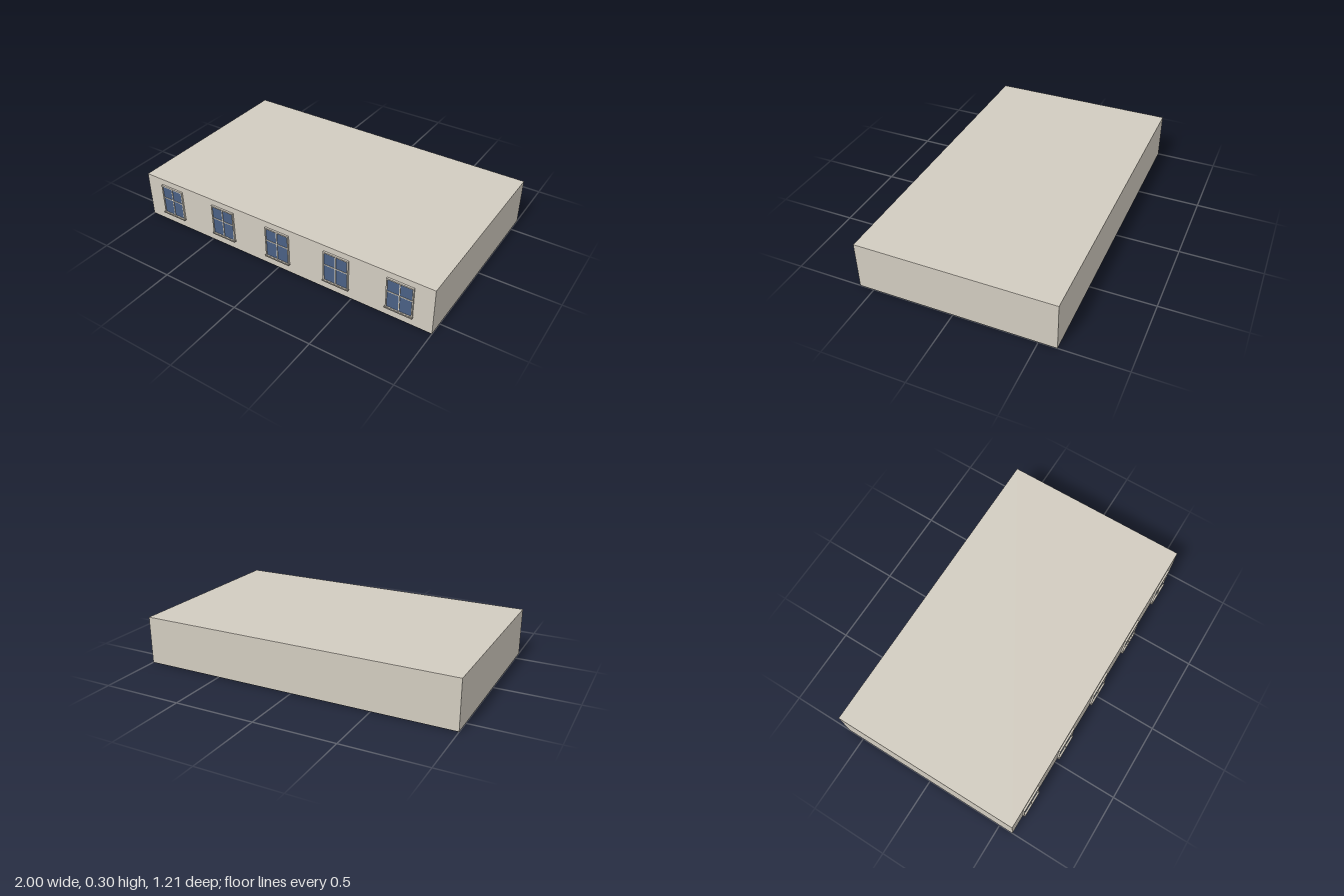
import * as THREE from 'three';

const wallMat = new THREE.MeshStandardMaterial({ name: 'beige plaster', color: 0xd2ccc0 });
const glassMat = new THREE.MeshStandardMaterial({ name: 'blue glass', color: 0x4a6084 });
const barMat = new THREE.MeshStandardMaterial({ name: 'pale trim', color: 0xddd8cc });
const sillMat = new THREE.MeshStandardMaterial({ name: 'stone sill', color: 0xa8a297 });
const baseMat = new THREE.MeshStandardMaterial({ name: 'dark underside', color: 0x3a3a38 });

const FRONT = 0.59; // front wall plane
const BACK = -0.607;

// Box given by its minimum and maximum corners
function box(name, mat, [x0, y0, z0], [x1, y1, z1]) {
  const mesh = new THREE.Mesh(new THREE.BoxGeometry(x1 - x0, y1 - y0, z1 - z0), mat);
  mesh.position.set((x0 + x1) / 2, (y0 + y1) / 2, (z0 + z1) / 2);
  mesh.name = name;
  return mesh;
}

// Four-pane window with a raised surround and a projecting sill
function makeWindow() {
  const win = new THREE.Group();
  win.name = 'window';

  const outline = new THREE.Shape();
  outline.moveTo(-0.082, 0.06).lineTo(0.082, 0.06).lineTo(0.082, 0.262).lineTo(-0.082, 0.262);
  const opening = new THREE.Path();
  opening.moveTo(-0.075, 0.066).lineTo(-0.075, 0.254).lineTo(0.075, 0.254).lineTo(0.075, 0.066);
  outline.holes.push(opening);
  const frame = new THREE.Mesh(
    new THREE.ExtrudeGeometry(outline, { depth: 0.011, bevelEnabled: false }), wallMat);
  frame.position.z = FRONT;
  frame.name = 'windowFrame';

  win.add(
    frame,
    box('glass', glassMat, [-0.075, 0.066, FRONT], [0.075, 0.254, FRONT + 0.006]),
    box('verticalBar', barMat, [-0.003, 0.066, FRONT + 0.006], [0.003, 0.254, FRONT + 0.01]),
    box('horizontalBar', barMat, [-0.075, 0.17, FRONT + 0.006], [0.075, 0.176, FRONT + 0.009]),
    box('sill', sillMat, [-0.085, 0.057, FRONT], [0.085, 0.065, FRONT + 0.017]),
  );
  return win;
}

export function createModel() {
  const model = new THREE.Group();
  model.name = 'building';

  // Main block and the thin slab beneath it
  model.add(
    box('buildingBlock', wallMat, [-1, 0.002, BACK], [1, 0.3, FRONT]),
    box('floorSlab', baseMat, [-1, 0, BACK], [1, 0.002, FRONT]),
  );

  // Row of windows along the front
  for (let i = -2; i <= 2; i++) {
    const win = makeWindow();
    win.position.x = i * 0.4;
    model.add(win);
  }
  return model;
}
